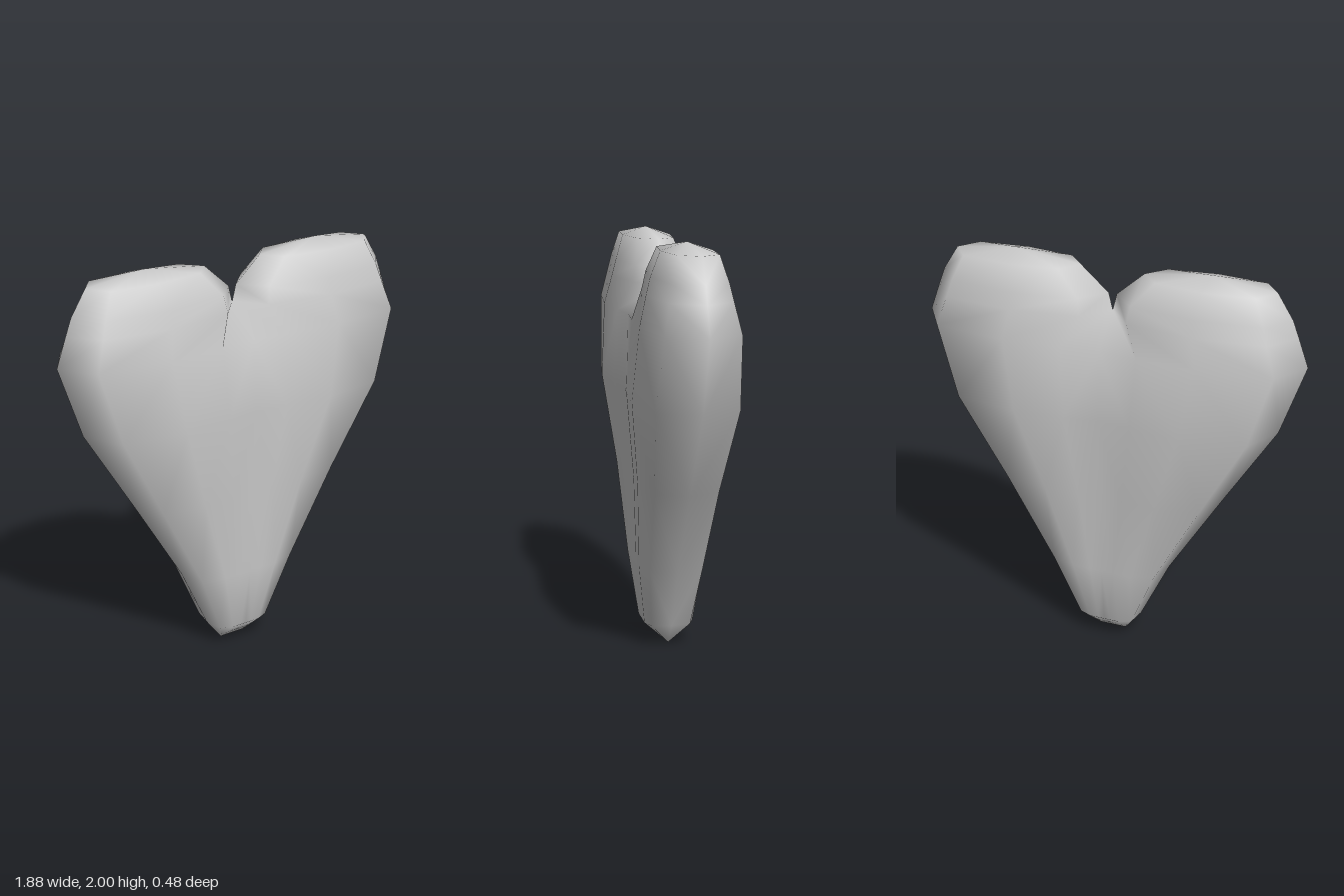
import * as THREE from 'three';
import { mergeVertices } from 'three/addons/utils/BufferGeometryUtils.js';

// Cross-sections of one lobe, bottom to top:
// [height, outer x, inner x, half thickness at the middle, half thickness at the inner edge]
const SECTIONS = [
  [0.00, 0.07, 0.00, 0.00, 0.00],
  [0.11, 0.155, 0.00, 0.12, 0.12],
  [0.42, 0.30, 0.00, 0.16, 0.155],
  [0.85, 0.56, 0.00, 0.19, 0.165],
  [1.27, 0.82, 0.00, 0.24, 0.20],
  [1.62, 0.94, 0.00, 0.215, 0.18],
  [1.76, 0.89, 0.00, 0.18, 0.00], // floor of the cleft
  [1.84, 0.86, 0.02, 0.16, 0.00],
  [1.96, 0.785, 0.155, 0.12, 0.00],
  [2.00, 0.48, 0.48, 0.00, 0.00], // top of the lobe
];

// Front half of a section: outer edge, outer shoulder, middle, inner shoulder, inner edge
function sectionPoints([y, xo, xi, zm, zi]) {
  const open = zi === 0; // separate lobe above the cleft
  const at = (t, z) => new THREE.Vector3(xi + (xo - xi) * t, y, z);
  return [
    at(1, 0),
    at(0.88, zm * 0.8),
    at(0.5, zm),
    open ? at(0.13, zm * 0.75) : at(0.2, (zm + zi) / 2),
    at(0, zi),
  ];
}

function heartGeometry() {
  const rows = SECTIONS.map(sectionPoints);
  const positions = [];
  const tri = new THREE.Triangle();

  // Add a triangle to one of the four mirrored quarters, skipping collapsed ones
  const addTriangle = (a, b, c, sx, sz) => {
    if (tri.set(a, b, c).getArea() < 1e-6) return;
    const corners = sx * sz > 0 ? [a, b, c] : [a, c, b];
    for (const p of corners) positions.push(p.x === 0 ? 0 : p.x * sx, p.y, p.z === 0 ? 0 : p.z * sz);
  };

  for (const sx of [1, -1]) {
    for (const sz of [1, -1]) {
      for (let j = 0; j < rows.length - 1; j++) {
        for (let i = 0; i < 4; i++) {
          const a = rows[j][i], b = rows[j][i + 1];
          const c = rows[j + 1][i + 1], d = rows[j + 1][i];
          addTriangle(a, d, c, sx, sz);
          addTriangle(a, c, b, sx, sz);
        }
      }
    }
  }

  // Weld the quarters so the shading runs smoothly across them
  const soup = new THREE.BufferGeometry();
  soup.setAttribute('position', new THREE.Float32BufferAttribute(positions, 3));
  const geometry = mergeVertices(soup, 1e-4);
  geometry.computeVertexNormals();
  return geometry;
}

export function createModel() {
  const group = new THREE.Group();
  group.name = 'heartModel';
  const heart = new THREE.Mesh(heartGeometry(), new THREE.MeshStandardMaterial({ color: 0xcccccc }));
  heart.name = 'heart';
  group.add(heart);
  return group;
}
